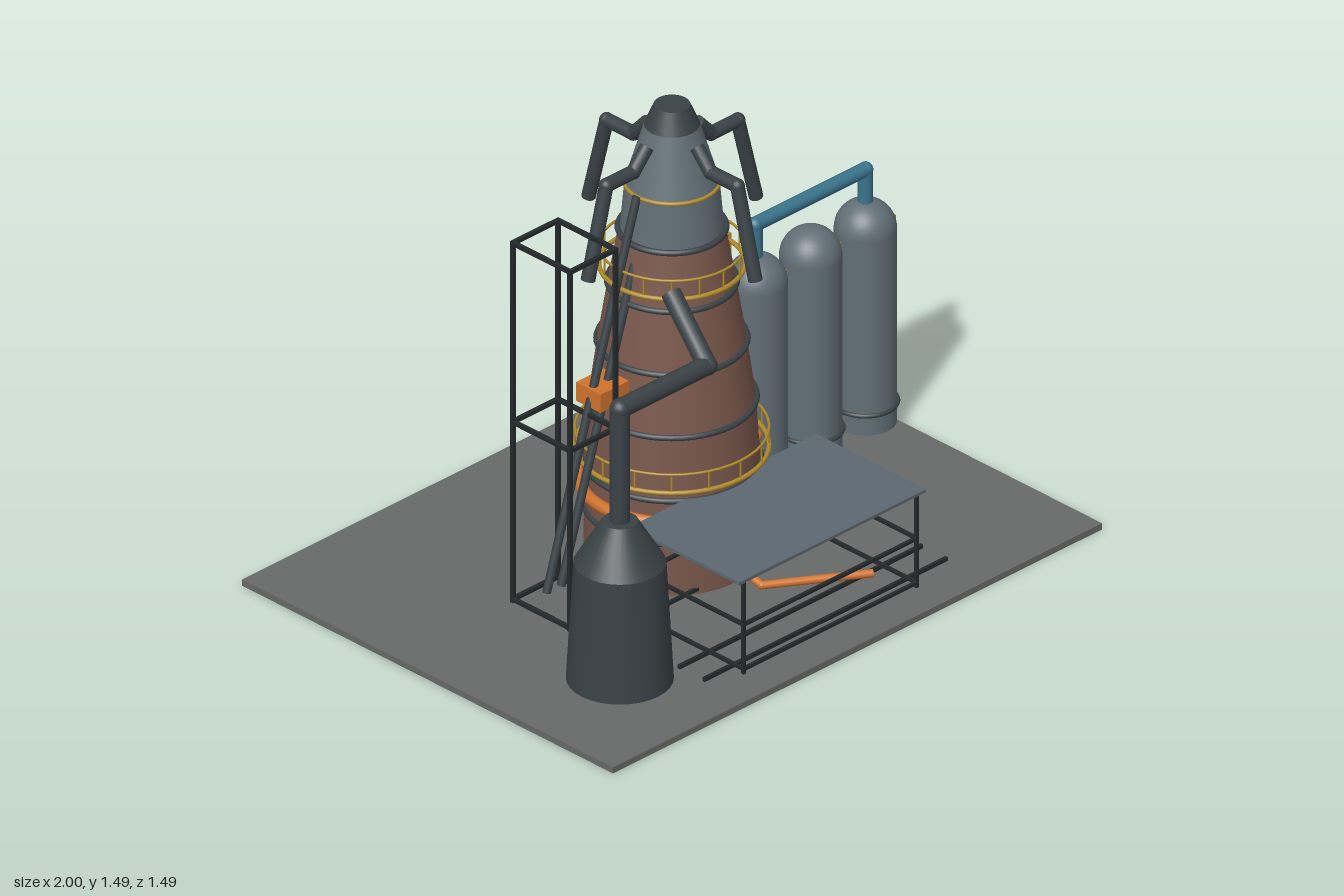
import * as THREE from 'three';

const mat = (color, extra = {}) => new THREE.MeshStandardMaterial({ color, ...extra });
const M = {
  ground: mat(0x686a6a), brick: mat(0x7a584c), steel: mat(0x626e76), dark: mat(0x3a4246),
  black: mat(0x24292b), gold: mat(0xb08a28), orange: mat(0xd0722c), blue: mat(0x3a748c), roof: mat(0x5c6870),
};
const V = (p) => new THREE.Vector3(...p);

function add(parent, name, geo, material, pos = [0, 0, 0]) {
  const m = new THREE.Mesh(geo, material);
  m.name = name;
  m.position.set(...pos);
  parent.add(m);
  return m;
}
function group(parent, name, pos = [0, 0, 0]) {
  const g = new THREE.Group();
  g.name = name;
  g.position.set(...pos);
  parent.add(g);
  return g;
}
// Straight round bar between two points
function bar(parent, name, a, b, r, material, sides = 12) {
  const d = V(b).sub(V(a));
  const m = add(parent, name, new THREE.CylinderGeometry(r, r, d.length(), sides), material);
  m.position.copy(V(a)).addScaledVector(d, 0.5);
  m.quaternion.setFromUnitVectors(new THREE.Vector3(0, 1, 0), d.normalize());
  return m;
}
// Pipe run with ball elbows
function pipe(parent, name, pts, r, material) {
  const g = group(parent, name);
  pts.forEach((p, i) => {
    if (i) bar(g, name + 'Run', pts[i - 1], p, r, material, 16);
    if (i && i < pts.length - 1) add(g, name + 'Elbow', new THREE.SphereGeometry(r * 1.04, 16, 12), material, p);
  });
  return g;
}
function ring(parent, name, R, r, y, material) {
  return add(parent, name, new THREE.TorusGeometry(R, r, 8, 48).rotateX(Math.PI / 2), material, [0, y, 0]);
}
function frustum(parent, name, r0, y0, r1, y1, material, sides = 40) {
  return add(parent, name, new THREE.CylinderGeometry(r1, r0, y1 - y0, sides), material, [0, (y0 + y1) / 2, 0]);
}
// Box-shaped frame: four posts and horizontal rails at the given heights
function frame(parent, name, x0, x1, z0, z1, y0, y1, levels, t) {
  const g = group(parent, name);
  for (const x of [x0, x1]) for (const z of [z0, z1])
    add(g, 'post', new THREE.BoxGeometry(t, y1 - y0, t), M.black, [x, (y0 + y1) / 2, z]);
  for (const y of levels) {
    for (const z of [z0, z1]) add(g, 'rail', new THREE.BoxGeometry(x1 - x0 + t, t, t), M.black, [(x0 + x1) / 2, y, z]);
    for (const x of [x0, x1]) add(g, 'rail', new THREE.BoxGeometry(t, t, z1 - z0), M.black, [x, y, (z0 + z1) / 2]);
  }
  return g;
}
// Ladder standing edge-on, two stiles apart in x
function ladder(parent, x, y0, y1, w) {
  const g = group(parent, 'ladder');
  for (const s of [0, w]) add(g, 'stile', new THREE.BoxGeometry(0.004, y1 - y0, 0.01), M.gold, [x + s, (y0 + y1) / 2, 0]);
  for (let y = y0 + 0.015; y < y1; y += 0.03)
    add(g, 'rung', new THREE.BoxGeometry(w, 0.006, 0.01), M.gold, [x + w / 2, y, 0]);
}
// Round walkway with handrail
function gallery(parent, R, y) {
  const g = group(parent, 'gallery');
  ring(g, 'deckRing', R, 0.007, y, M.gold);
  ring(g, 'handrail', R, 0.004, y + 0.06, M.gold);
  for (let i = 0; i < 16; i++) {
    const a = (i / 16) * Math.PI * 2;
    const x = Math.cos(a) * R, z = Math.sin(a) * R;
    bar(g, 'railPost', [x, y, z], [x, y + 0.06, z], 0.003, M.gold, 6);
  }
}

function buildFurnace(root) {
  const f = group(root, 'furnace', [-0.025, 0, 0]);
  // Brick shell in tapering courses
  const shell = [[0.25, 0.02], [0.25, 0.33], [0.238, 0.53], [0.212, 0.72], [0.182, 0.91], [0.152, 1.085]];
  for (let i = 1; i < shell.length; i++)
    frustum(f, 'brickCourse', ...shell[i - 1], ...shell[i], M.brick);
  for (const [R, y] of [[0.25, 0.19], ...shell.slice(1)]) ring(f, 'shellBand', R + 0.002, 0.009, y, M.dark);
  // Steel throat and cap
  frustum(f, 'throat', 0.148, 1.085, 0.135, 1.235, M.steel);
  frustum(f, 'throatCone', 0.135, 1.235, 0.08, 1.42, M.steel);
  frustum(f, 'topCap', 0.08, 1.42, 0.052, 1.485, M.dark, 24);
  ring(f, 'throatRing', 0.136, 0.006, 1.235, M.gold);
  gallery(f, 0.275, 0.37);
  gallery(f, 0.207, 0.965);
  const lad = group(f, 'shellLadder');
  ladder(lad, 0.2, 0.62, 0.97, 0.03);
  // Four bent gas uptakes
  for (let i = 0; i < 4; i++) {
    const u = pipe(f, 'uptake', [[0.1, 1.385, 0], [0.155, 1.325, 0], [0.262, 1.325, 0], [0.335, 1.045, 0]], 0.021, M.dark);
    u.rotation.y = (i * Math.PI) / 2;
  }
  // Ring main with blast nozzles
  ring(f, 'ringMain', 0.262, 0.019, 0.265, M.orange);
  for (let i = 0; i < 10; i++) {
    const a = (i / 10) * Math.PI * 2, s = Math.sin(a), c = Math.cos(a);
    bar(f, 'blastNozzle', [s * 0.265, 0.26, c * 0.265], [s * 0.245, 0.228, c * 0.245], 0.009, M.orange, 8);
  }
}

function buildStoves(root) {
  const profile = [[0, 0.02], [0.09, 0.02], [0.09, 0.65]].map((p) => new THREE.Vector2(...p));
  for (const x of [0.45, 0.667, 0.885]) {
    const s = group(root, 'stove', [x, 0, -0.14]);
    add(s, 'stoveBody', new THREE.CylinderGeometry(0.09, 0.09, 0.63, 32), M.steel, [0, 0.335, 0]);
    add(s, 'stoveDome', new THREE.SphereGeometry(0.09, 32, 12, 0, Math.PI * 2, 0, Math.PI / 2), M.steel, [0, 0.65, 0]);
    ring(s, 'stoveBand', 0.092, 0.007, 0.085, M.dark);
    ladder(s, 0.095, 0.08, 0.645, 0.02);
  }
  pipe(root, 'stoveMain', [[0.445, 0.71, -0.14], [0.445, 0.84, -0.14], [0.885, 0.84, -0.14], [0.885, 0.71, -0.14]], 0.022, M.blue);
  pipe(root, 'hotBlastPipe', [[0.23, 0.265, 0], [0.305, 0.265, 0], [0.305, 0.145, -0.14], [0.38, 0.145, -0.14]], 0.021, M.orange);
}

function buildDustCatcher(root) {
  const d = group(root, 'dustCatcher', [-0.63, 0, 0.4]);
  frustum(d, 'catcherBody', 0.153, 0.02, 0.132, 0.4, M.dark, 32);
  frustum(d, 'catcherCone', 0.132, 0.4, 0.052, 0.535, M.dark, 32);
  pipe(root, 'downcomer', [[-0.63, 0.5, 0.4], [-0.63, 0.9, 0.4], [-0.283, 0.9, 0.4], [-0.245, 1.045, 0.218]], 0.029, M.dark);
}

function buildSkipHoist(root) {
  frame(root, 'hoistTower', -0.545, -0.365, -0.115, 0.115, 0.02, 1.2, [0.03, 0.61, 1.195], 0.012);
  const h = group(root, 'skipBridge');
  bar(h, 'skipBeam', [-0.467, 0.09, 0], [-0.145, 1.12, 0], 0.013, M.dark);
  bar(h, 'skipBeam', [-0.525, 0.09, 0], [-0.165, 1.24, 0], 0.013, M.dark);
  add(h, 'skipCar', new THREE.BoxGeometry(0.112, 0.06, 0.1), M.orange, [-0.303, 0.66, 0]);
}

function buildCastHouse(root) {
  const c = group(root, 'castHouse');
  add(c, 'castHouseRoof', new THREE.BoxGeometry(0.745, 0.01, 0.44), M.roof, [-0.025, 0.332, 0.425]);
  frame(c, 'castHouseFrame', -0.365, 0.325, 0.218, 0.63, 0.02, 0.328, [0.035, 0.18], 0.01);
  // Ground track
  for (const z of [0.485, 0.585])
    add(c, 'trackRail', new THREE.BoxGeometry(0.97, 0.012, 0.01), M.black, [0.005, 0.028, z]);
  // Iron runner
  pipe(c, 'ironRunner', [[-0.025, 0.09, 0.235], [-0.025, 0.058, 0.36], [0.25, 0.055, 0.53]], 0.012, M.orange);
}

export function createModel() {
  const root = new THREE.Group();
  root.name = 'blastFurnacePlant';
  add(root, 'groundSlab', new THREE.BoxGeometry(1.95, 0.02, 1.49), M.ground, [-0.025, 0.01, 0]);
  buildFurnace(root);
  buildStoves(root);
  buildDustCatcher(root);
  buildSkipHoist(root);
  buildCastHouse(root);
  return root;
}
